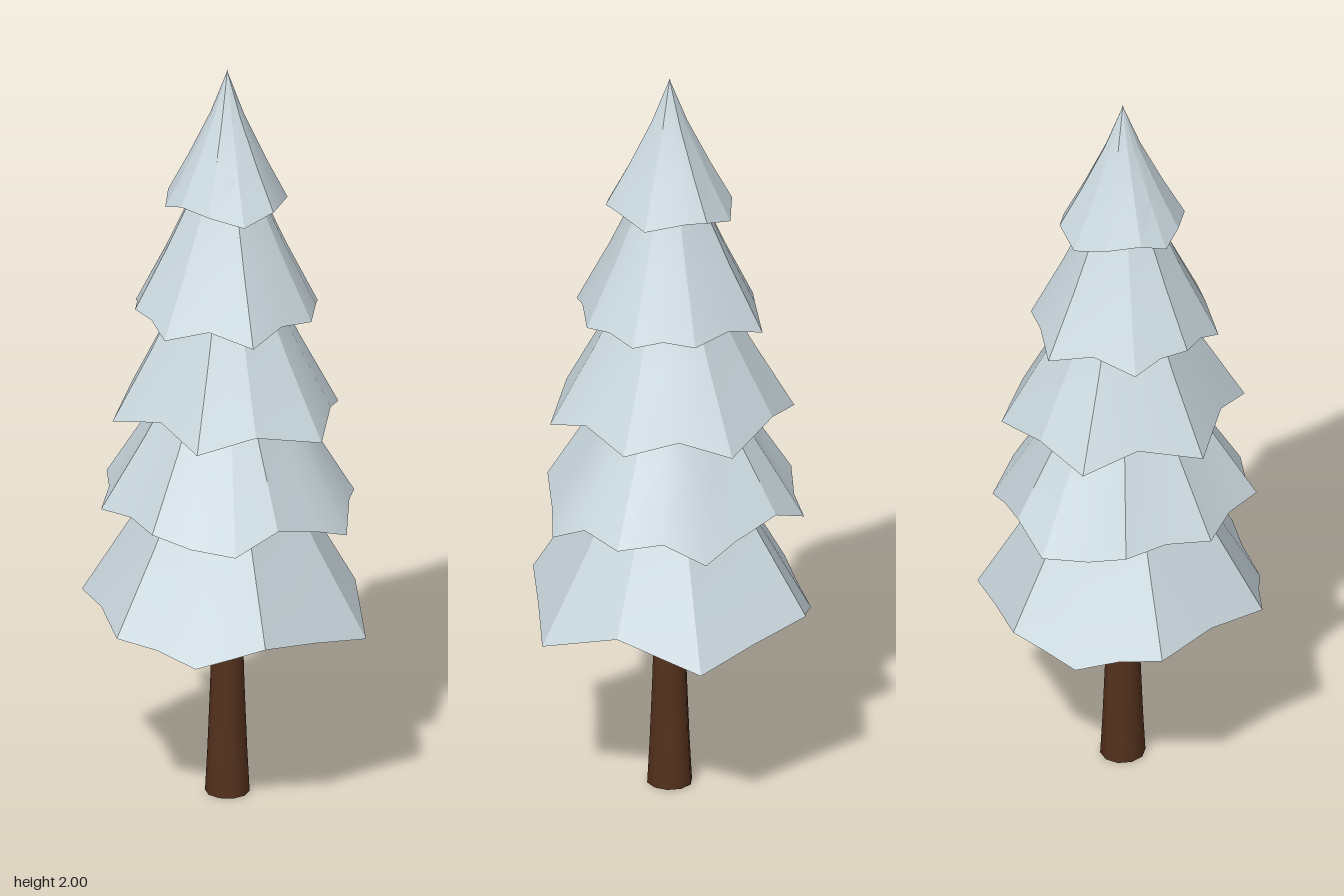
import * as THREE from 'three';
import { toCreasedNormals } from 'three/addons/utils/BufferGeometryUtils.js';

const snow = new THREE.MeshStandardMaterial({ color: 0xcad8de });
snow.name = 'snow';
const needles = new THREE.MeshStandardMaterial({ color: 0x1d2c20 });
needles.name = 'darkGreenNeedles';
const bark = new THREE.MeshStandardMaterial({ color: 0x54311c });
bark.name = 'bark';

// Each tier: apex height and half its rim as [x, y, z] from +x round the front to -x
const TIERS = [
  { apex: 1.25, rim: [[0.34, 0.55, 0], [0.31, 0.475, 0.222], [0.155, 0.51, 0.3], [0, 0.54, 0.382],
    [-0.075, 0.51, 0.35], [-0.17, 0.48, 0.322], [-0.25, 0.51, 0.245], [-0.34, 0.525, 0.175], [-0.335, 0.545, 0]] },
  { apex: 1.45, rim: [[0.337, 0.8, 0], [0.295, 0.82, 0.11], [0.26, 0.765, 0.215], [0.17, 0.8, 0.255], [0.05, 0.838, 0.32],
    [-0.07, 0.787, 0.346], [-0.17, 0.793, 0.275], [-0.26, 0.825, 0.228], [-0.285, 0.83, 0.11], [-0.335, 0.815, 0]] },
  { apex: 1.7, rim: [[0.295, 1.05, 0], [0.24, 1.09, 0.13], [0.183, 1.045, 0.255], [0, 1.09, 0.288],
    [-0.155, 1.055, 0.282], [-0.215, 1.1, 0.145], [-0.305, 1.055, 0]] },
  { apex: 1.9, rim: [[0.24, 1.335, 0], [0.215, 1.355, 0.075], [0.183, 1.34, 0.152], [0.09, 1.357, 0.205], [0, 1.325, 0.26],
    [-0.1, 1.357, 0.195], [-0.205, 1.325, 0.145], [-0.22, 1.355, 0.07], [-0.245, 1.36, 0]] },
  { apex: 2.0, rim: [[0.16, 1.63, 0], [0.115, 1.652, 0.1], [0.085, 1.65, 0.142], [0, 1.625, 0.17],
    [-0.085, 1.65, 0.138], [-0.14, 1.658, 0.065], [-0.165, 1.635, 0]] },
];
const ROWS = [0, 0.03, 0.35, 0.7, 1];
const CREASE = 0.33;

// Rings from a point down to a zigzag rim, with a slightly hollow profile
function skirtRings(apex, rim) {
  return ROWS.map((t) => rim.map(([x, y, z]) => {
    const spread = Math.pow(t, 1.2);
    return [x * spread, apex + (y - apex) * t, z * spread];
  }));
}

// Surface through closed rings of equal length, facing outward when they run downward
function loft(rings) {
  const n = rings[0].length;
  const index = [];
  for (let r = 0; r < rings.length - 1; r++) {
    for (let i = 0; i < n; i++) {
      const a = r * n + i, b = r * n + (i + 1) % n;
      index.push(a, b, b + n, a, b + n, a + n);
    }
  }
  const geometry = new THREE.BufferGeometry();
  geometry.setAttribute('position', new THREE.Float32BufferAttribute(rings.flat(2), 3));
  geometry.setIndex(index);
  return toCreasedNormals(geometry, CREASE);
}

export function createModel() {
  const tree = new THREE.Group();
  tree.name = 'snowyPine';

  // Flared trunk with a closed base
  const profile = [[0, 0], [0.057, 0], [0.057, 0.004], [0.051, 0.12], [0.044, 0.3], [0.037, 0.54], [0.03, 0.8], [0, 1]]
    .map(([r, y]) => new THREE.Vector2(r, y));
  const trunk = new THREE.Mesh(toCreasedNormals(new THREE.LatheGeometry(profile, 10), 0.8), bark);
  trunk.name = 'trunk';
  trunk.scale.z = 1.04;
  tree.add(trunk);

  TIERS.forEach(({ apex, rim: half }, i) => {
    const back = half.slice(1, -1).reverse().map(([x, y, z]) => [x, y, -z]);
    const rim = [...half, ...back];
    const lip = rim.map(([x, y, z]) => [x * 0.97, y + 0.004, z * 0.97]);

    const tier = new THREE.Group();
    tier.name = `branchTier${i + 1}`;
    // Snow folds a little way under the rim
    const top = new THREE.Mesh(loft([...skirtRings(apex, rim), lip]), snow);
    top.name = 'snowCover';
    // Green lining, its rings reversed to face inward
    const under = new THREE.Mesh(loft(skirtRings(apex - 0.03, lip).reverse()), needles);
    under.name = 'needleUnderside';
    tier.add(top, under);
    tree.add(tier);
  });
  return tree;
}
